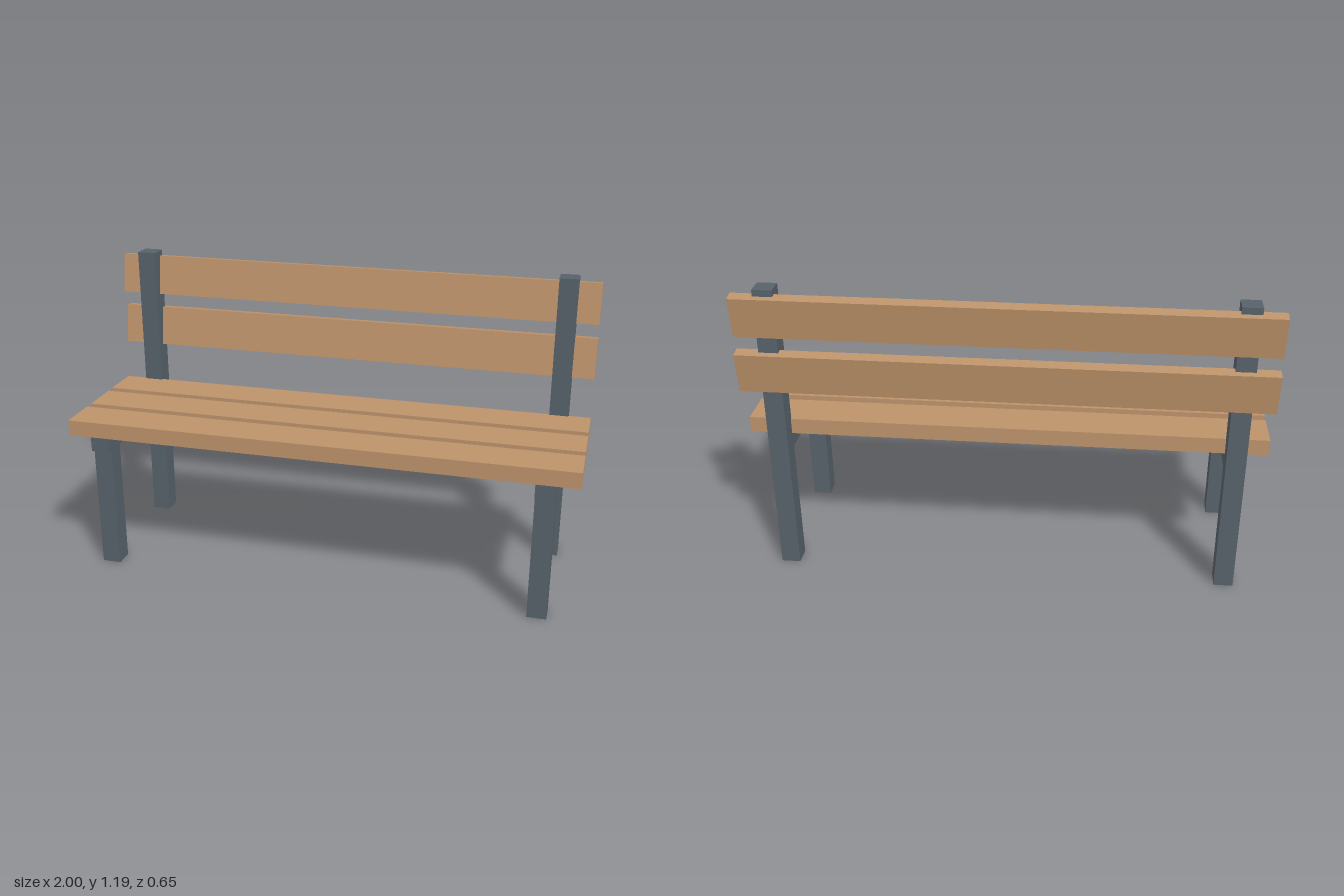
import * as THREE from 'three';

export function createModel() {
  const bench = new THREE.Group();
  bench.name = 'bench';

  const wood = new THREE.MeshStandardMaterial({ color: 0xbc926a });
  wood.name = 'wood';
  const metal = new THREE.MeshStandardMaterial({ color: 0x57616a });
  metal.name = 'paintedMetal';

  function box(name, material, size, position, parent = bench) {
    const mesh = new THREE.Mesh(new THREE.BoxGeometry(...size), material);
    mesh.name = name;
    mesh.position.set(...position);
    parent.add(mesh);
    return mesh;
  }

  // Side frames: front leg, tall back post and the rail that carries the seat
  const bar = 0.075;
  for (const side of [-1, 1]) {
    const frame = new THREE.Group();
    frame.name = side > 0 ? 'leftFrame' : 'rightFrame';
    frame.position.x = side * 0.874;
    box('frontLeg', metal, [bar, 0.502, bar], [0, 0.251, 0.262], frame);
    box('backPost', metal, [bar, 1.187, bar], [0, 0.5935, -0.264], frame);
    box('seatRail', metal, [bar, 0.062, 0.58], [0, 0.533, 0.031], frame);
    bench.add(frame);
  }

  // Three flat seat slats
  for (const z of [0.246, 0.047, -0.153]) {
    box('seatSlat', wood, [2, 0.063, 0.163], [0, 0.595, z]);
  }

  // Two backrest slats, leaning back
  for (const y of [0.858, 1.081]) {
    box('backSlat', wood, [2, 0.162, 0.047], [0, y, -0.291]).rotation.x = -0.15;
  }

  return bench;
}
